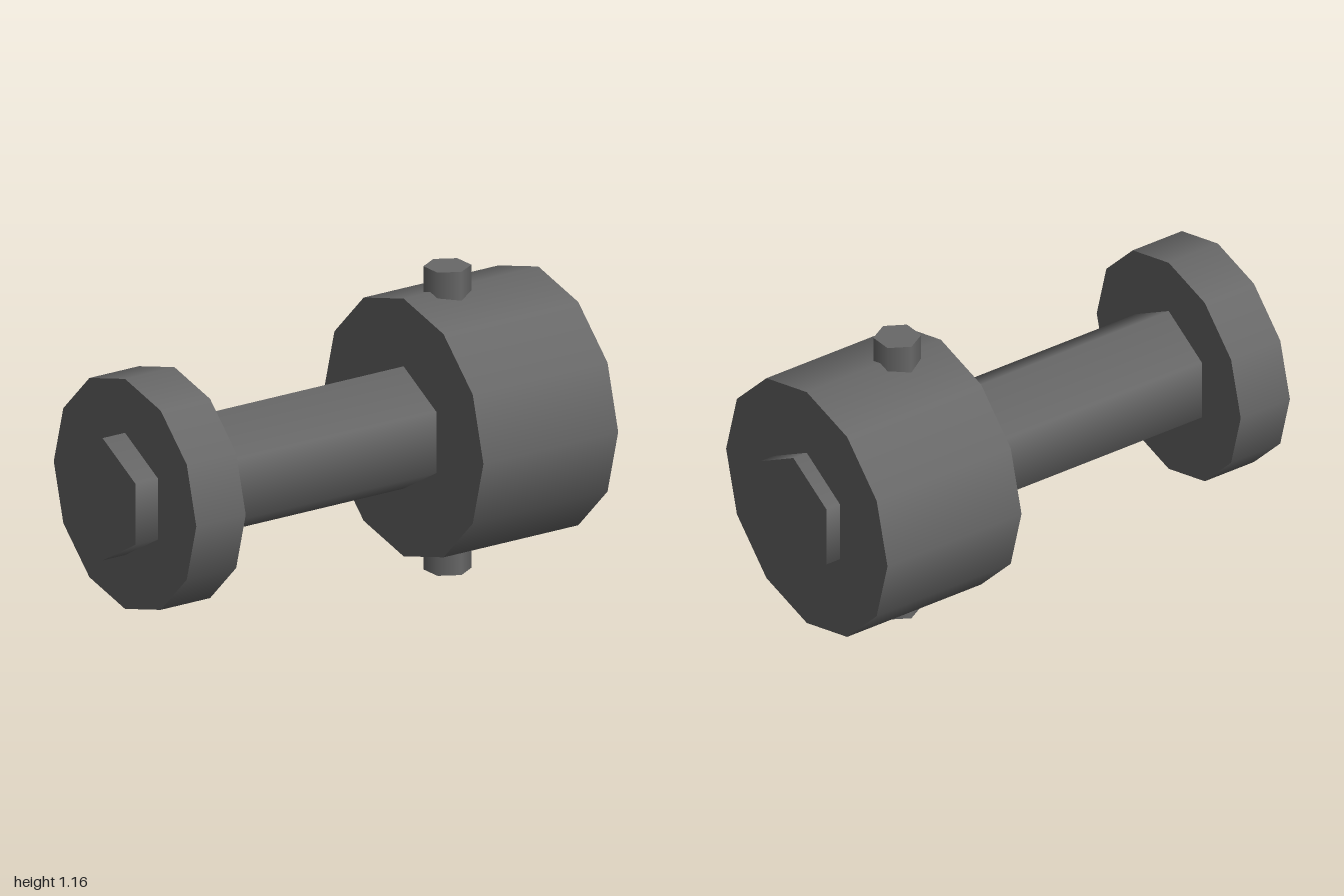
import * as THREE from 'three';

export function createModel() {
  const model = new THREE.Group();
  model.name = 'dumbbellShapedShaft';
  const steel = new THREE.MeshStandardMaterial({ color: 0x686868 });
  steel.name = 'dark grey metal';

  const axisY = 0.58;

  // Low-sided cylinder lying along z, with a corner pointing up
  function drum(name, radius, zBack, zFront, sides) {
    const geometry = new THREE.CylinderGeometry(radius, radius, zFront - zBack, sides);
    geometry.rotateX(Math.PI / 2);
    const mesh = new THREE.Mesh(geometry, steel);
    mesh.name = name;
    mesh.position.set(0, axisY, (zBack + zFront) / 2);
    model.add(mesh);
  }

  drum('shaft', 0.234, -1, 1, 6);
  drum('frontCollar', 0.44, 0.68, 0.9, 12);
  drum('rearDrum', 0.493, -0.94, -0.34, 12);

  // Upright hexagonal pin through the rear drum, corners towards the sides
  const pinGeometry = new THREE.CylinderGeometry(0.087, 0.087, 2 * axisY, 6);
  pinGeometry.rotateY(Math.PI / 2);
  const pin = new THREE.Mesh(pinGeometry, steel);
  pin.name = 'crossPin';
  pin.position.set(0, axisY, -0.535);
  model.add(pin);

  return model;
}
